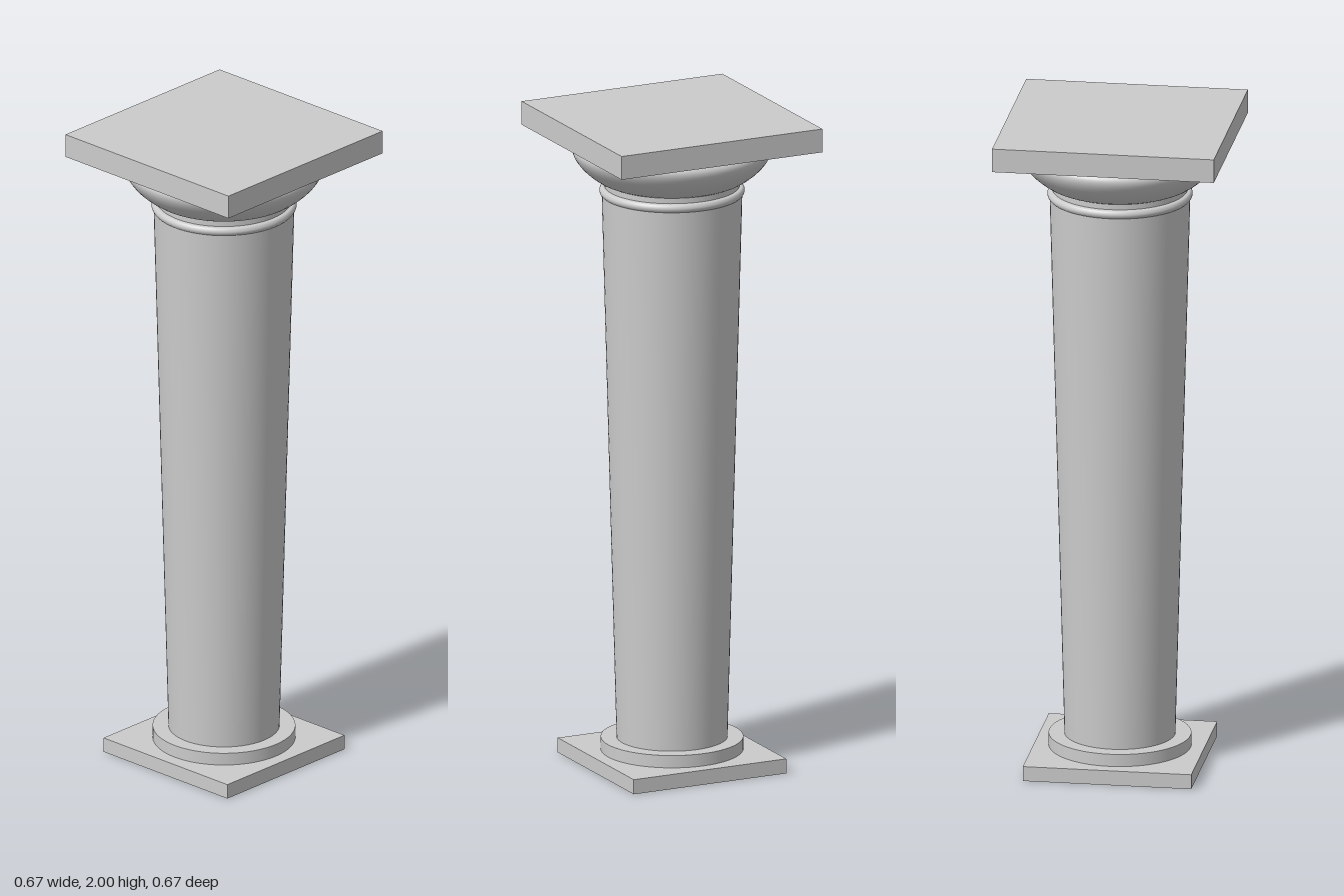
import * as THREE from 'three';

const material = new THREE.MeshStandardMaterial({ color: 0xcccccc });
const SEGMENTS = 64;

function add(group, name, geometry, y = 0) {
  const mesh = new THREE.Mesh(geometry, material);
  mesh.name = name;
  mesh.position.y = y;
  group.add(mesh);
}

// Square slab standing on height y
function slab(group, name, width, y, height) {
  add(group, name, new THREE.BoxGeometry(width, height, width), y + height / 2);
}

// Round part standing on height y
function drum(group, name, bottom, top, y, height) {
  add(group, name, new THREE.CylinderGeometry(top, bottom, height, SEGMENTS), y + height / 2);
}

// Smooth turned part from a few [radius, y] points, bottom to top
function turned(group, name, points) {
  const curve = new THREE.SplineCurve(points.map(([r, y]) => new THREE.Vector2(r, y)));
  add(group, name, new THREE.LatheGeometry(curve.getPoints(28), SEGMENTS));
}

export function createModel() {
  const column = new THREE.Group();
  column.name = 'column';

  // Base
  slab(column, 'plinth', 0.506, 0, 0.045);
  drum(column, 'baseDisc', 0.212, 0.212, 0.045, 0.038);

  // Shaft, widening upwards
  drum(column, 'shaft', 0.165, 0.209, 0.083, 1.677);

  // Capital: rounded ring, neck, flared cushion and square top
  turned(column, 'neckRing', [
    [0.2, 1.756], [0.211, 1.759], [0.216, 1.77], [0.211, 1.781], [0.2, 1.784],
  ]);
  drum(column, 'neck', 0.201, 0.201, 1.755, 0.05);
  turned(column, 'cushion', [
    [0.2, 1.8], [0.226, 1.812], [0.26, 1.838], [0.285, 1.867],
    [0.296, 1.893], [0.29, 1.912], [0.265, 1.926], [0.24, 1.93],
  ]);
  slab(column, 'abacus', 0.666, 1.928, 0.072);

  return column;
}
